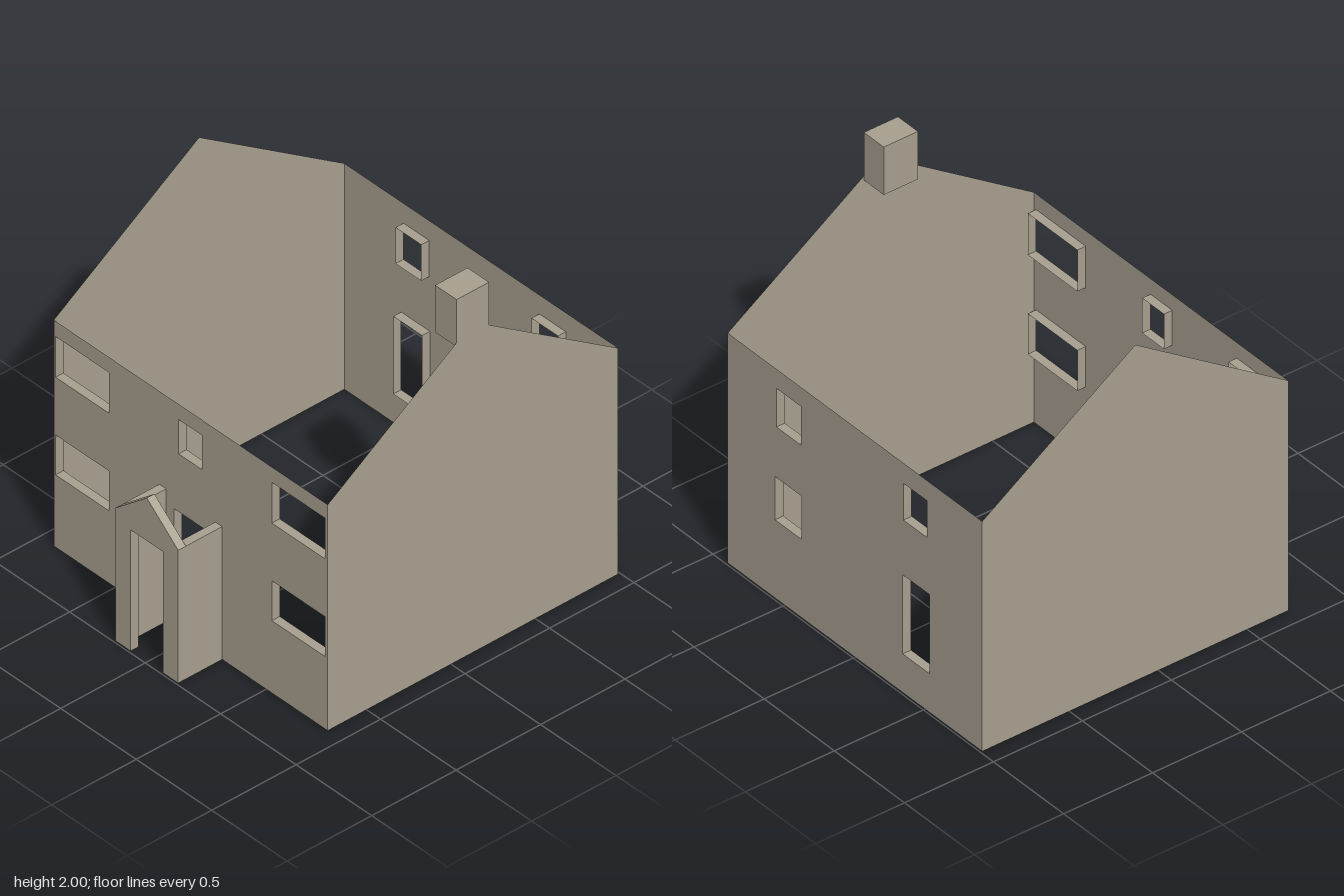
import * as THREE from 'three';

const W = 0.907, FRONT = 0.73, BACK = -0.99, EAVES = 1.25, RIDGE = 1.827, RIDGE_Z = -0.13, REVEAL = 0.047;

// openings as [x0, x1, y0, y1]
const frontOpenings = [
  [-0.895, -0.54, 0.94, 1.165], [-0.895, -0.54, 0.4, 0.62],
  [0.537, 0.89, 0.94, 1.165], [0.537, 0.89, 0.4, 0.62],
  [-0.08, 0.075, 0.975, 1.165], [-0.11, 0.107, 0.21, 0.655],
];
const backOpenings = [
  [0.385, 0.56, 0.935, 1.145], [0.38, 0.57, 0.425, 0.66],
  [-0.515, -0.345, 0.94, 1.14], [-0.53, -0.34, 0.21, 0.64],
];

const polygon = (points, Kind = THREE.Shape) => new Kind(points.map(([x, y]) => new THREE.Vector2(x, y)));
const rect = ([x0, x1, y0, y1], Kind) => polygon([[x0, y0], [x1, y0], [x1, y1], [x0, y1]], Kind);

export function createModel() {
  const model = new THREE.Group();
  model.name = 'house';
  const stone = new THREE.MeshStandardMaterial({ color: 0xa8a090, side: THREE.DoubleSide });
  stone.name = 'stone';

  const add = (name, geometry, parent = model, x = 0, y = 0, z = 0) => {
    const mesh = new THREE.Mesh(geometry, stone);
    mesh.name = name;
    mesh.position.set(x, y, z);
    parent.add(mesh);
    return mesh;
  };
  const addBox = (name, [x0, x1], [y0, y1], [z0, z1], parent) => add(name,
    new THREE.BoxGeometry(x1 - x0, y1 - y0, z1 - z0), parent, (x0 + x1) / 2, (y0 + y1) / 2, (z0 + z1) / 2);

  // thin wall with holes, each lined by four reveal strips facing into the hole
  const addWall = (name, openings, z, inward) => {
    const wall = new THREE.Group();
    wall.name = name;
    model.add(wall);
    const shape = rect([-W, W, 0, EAVES]);
    shape.holes = openings.map((o) => rect(o, THREE.Path));
    const face = new THREE.ShapeGeometry(shape);
    if (inward > 0) face.rotateY(Math.PI).scale(1, 1, 1);
    const panel = add('wallPanel', face, wall, 0, 0, z);
    if (inward > 0) panel.rotation.y = Math.PI;
    const zMid = z + inward * REVEAL / 2;
    for (const [x0, x1, y0, y1] of openings) {
      const xMid = (x0 + x1) / 2, yMid = (y0 + y1) / 2;
      add('sill', new THREE.PlaneGeometry(x1 - x0, REVEAL).rotateX(-Math.PI / 2), wall, xMid, y0, zMid);
      add('lintel', new THREE.PlaneGeometry(x1 - x0, REVEAL).rotateX(Math.PI / 2), wall, xMid, y1, zMid);
      add('rightJamb', new THREE.PlaneGeometry(REVEAL, y1 - y0).rotateY(Math.PI / 2), wall, x0, yMid, zMid);
      add('leftJamb', new THREE.PlaneGeometry(REVEAL, y1 - y0).rotateY(-Math.PI / 2), wall, x1, yMid, zMid);
    }
  };
  addWall('frontWall', frontOpenings, FRONT, -1);
  addWall('backWall', backOpenings, BACK, 1);

  // gable end walls, drawn with shape x running towards the back
  for (const side of [1, -1]) {
    const z = (v) => -side * v;
    const gable = polygon([[z(FRONT), 0], [z(BACK), 0], [z(BACK), EAVES], [z(RIDGE_Z), RIDGE], [z(FRONT), EAVES]]);
    const geometry = new THREE.ShapeGeometry(gable).rotateY(side * Math.PI / 2);
    add(side > 0 ? 'leftGable' : 'rightGable', geometry, model, side * W);
  }

  // chimney on the left gable
  addBox('chimney', [0.765, W], [1.74, 2], [-0.225, -0.033]);

  // porch: gabled front with a doorway, and two side walls
  const porch = new THREE.Group();
  porch.name = 'porch';
  model.add(porch);
  const T = 0.045, P = 0.208, D = 0.107;
  const porchFront = polygon([[-P, 0], [-D, 0], [-D, 0.67], [D, 0.67], [D, 0], [P, 0], [P, 0.735], [0, 0.907], [-P, 0.735]]);
  add('porchFront', new THREE.ExtrudeGeometry(porchFront, { depth: T, bevelEnabled: false }), porch, 0, 0, 0.99 - T);
  addBox('porchLeftWall', [P - T, P], [0, 0.735], [FRONT, 0.99 - T], porch);
  addBox('porchRightWall', [-P, T - P], [0, 0.735], [FRONT, 0.99 - T], porch);

  return model;
}
